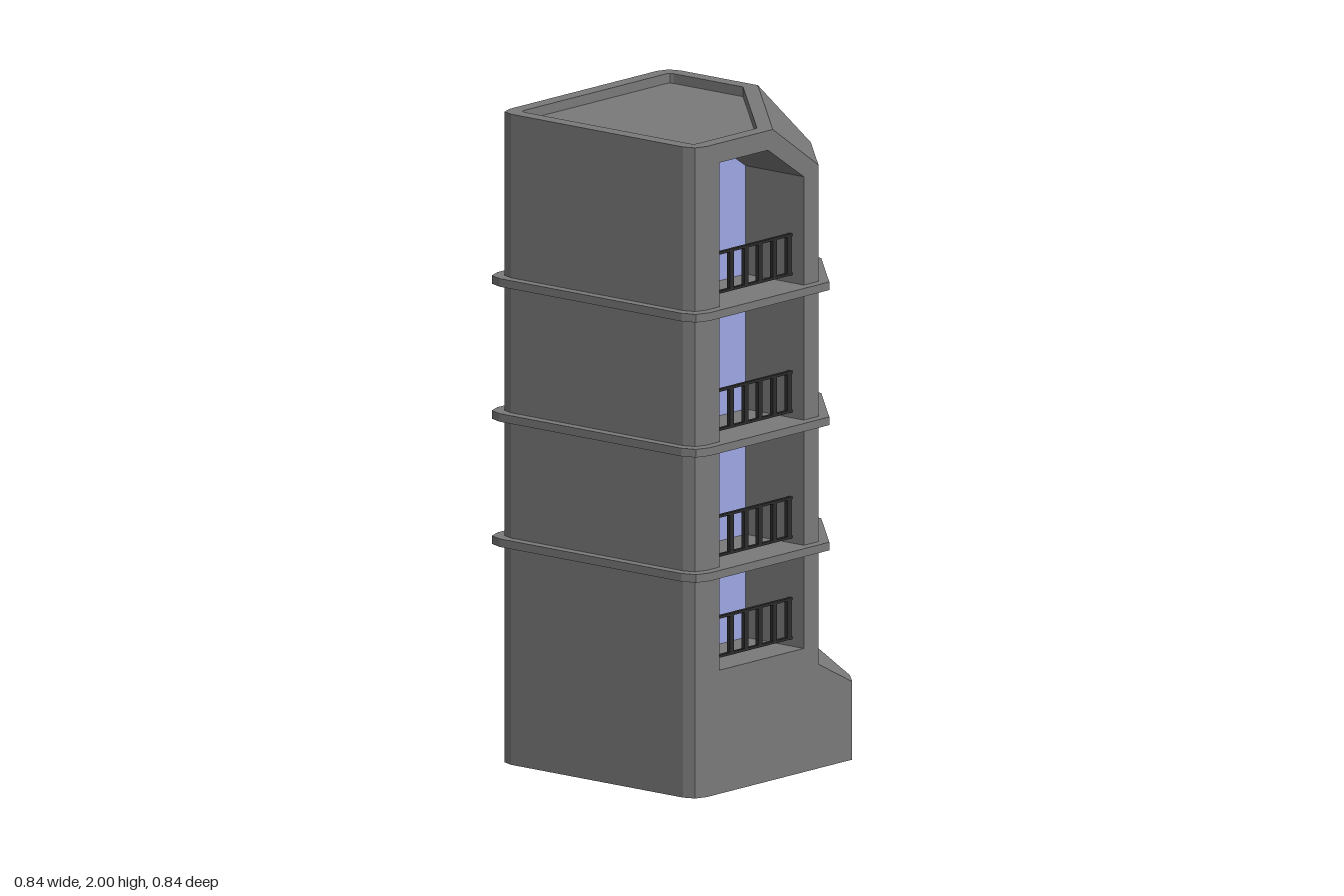
import * as THREE from 'three';

const concrete = new THREE.MeshStandardMaterial({ color: 0x7a7a7a, flatShading: true });
const glass = new THREE.MeshStandardMaterial({ color: 0xa0a9e6, flatShading: true });
const iron = new THREE.MeshStandardMaterial({ color: 0x2c2c2c, flatShading: true });

const H = 0.39;            // half width of the walls
const CUT = 0.565;         // x - z along the cut-off back corner
const BALCONY = { depth: 0.235, start: 0.28 };   // recess depth and far edge of the openings
const BACK = { depth: 0.04, start: 0.295 };
const R2 = Math.SQRT1_2;

// Mirror across the diagonal plane, swapping the right face and the back face
const swap = ([x, z]) => [-z, -x];

// Plan outline; end = near edge of the wall openings, win = [half width, depth] of the corner window
function plan({ h = H, c = 0.05, cut = CUT, end = null, win = null }) {
  const k = h - 0.27 * c;
  const half = ({ depth, start }) => {
    const p = [];
    if (win) {
      const [w, d] = win, m = cut / 2;
      p.push([m + (w - d) * R2, -m + (w + d) * R2], [m + w * R2, -m + w * R2]);
    }
    p.push([h, h - cut]);
    if (end !== null) p.push([h, end], [h - depth, end], [h - depth, start], [h, start]);
    p.push([h, h - c], [k, k], [h - c, h]);
    return p;
  };
  return [...half(BALCONY), [c - h, h], [-k, k], [-h, h - c], ...half(BACK).map(swap).reverse()];
}

// Solid between two outlines with equal point counts, with an optional straight-sided hole
function band(out, y0, y1, lower, upper = lower, hole = null) {
  const loop = (pts, ccw) => {
    const v = pts.map(([x, z]) => new THREE.Vector2(x, -z));
    return THREE.ShapeUtils.isClockWise(v) === ccw ? v.reverse() : v;
  };
  const put = (v, y) => out.push(v.x, y, -v.y);
  const holes = hole ? [loop(hole, false)] : [];
  const a = loop(lower, true), b = loop(upper, true);
  [[a, b], ...holes.map((q) => [q, q])].forEach(([p, q]) => {
    p.forEach((_, i) => {
      const j = (i + 1) % p.length;
      put(p[i], y0); put(p[j], y0); put(q[j], y1);
      put(p[i], y0); put(q[j], y1); put(q[i], y1);
    });
  });
  [[a, y0, true], [b, y1, false]].forEach(([p, y, flip]) => {
    const all = [p, ...holes].flat();
    THREE.ShapeUtils.triangulateShape(p, holes).forEach((f) => {
      (flip ? [f[0], f[2], f[1]] : f).forEach((i) => put(all[i], y));
    });
  });
}

function solid(name, material, build) {
  const out = [];
  build(out);
  const g = new THREE.BufferGeometry();
  g.setAttribute('position', new THREE.Float32BufferAttribute(out, 3));
  g.computeVertexNormals();
  const mesh = new THREE.Mesh(g, material);
  mesh.name = name;
  return mesh;
}

function box(name, material, size, pos) {
  const mesh = new THREE.Mesh(new THREE.BoxGeometry(...size), material);
  mesh.name = name;
  mesh.position.set(...pos);
  return mesh;
}

// Storeys: floor, top of the straight opening, corner window [bottom, top, half width, depth]
const storeys = [
  { y0: 0.38, y1: 0.672 },
  { y0: 0.697, y1: 1.057, win: [0.747, 1.04, 0.109, 0.043] },
  { y0: 1.082, y1: 1.472, win: [1.11, 1.45, 0.13, 0.062] },
  { y0: 1.497, y1: 1.83, win: [1.52, 1.812, 0.109, 0.043] },
];
const END = -0.108;                                             // near edge of the openings
const TOP = 1.94;                                               // top of the highest opening
const roofCut = (y) => CUT - 0.21 * Math.max(0, (y - 1.855) / 0.145);
const slopeEnd = (y) => END + 0.165 * (y - 1.83) / (TOP - 1.83);

export function createModel() {
  const model = new THREE.Group();
  model.name = 'tower';

  model.add(solid('towerWalls', concrete, (out) => {
    // Base with its sloped shoulder
    const base = plan({ cut: 0.72 }), plain = plan({});
    band(out, 0, 0.24, base);
    band(out, 0.24, 0.32, base, plain);
    band(out, 0.32, 0.38, plain);
    // Storeys with balcony, back opening and corner window
    const open = plan({ end: END });
    storeys.forEach(({ y0, y1, win }) => {
      if (!win) return band(out, y0, y1, open);
      band(out, y0, win[0], open);
      band(out, win[0], win[1], plan({ end: END, win: win.slice(2) }));
      band(out, win[1], y1, open);
    });
    // Sloped heads of the top openings under the sloped roof corner
    const at = (y) => plan({ cut: roofCut(y), end: slopeEnd(y) });
    band(out, 1.83, 1.855, at(1.83), at(1.855));
    band(out, 1.855, TOP, at(1.855), at(TOP));
    // Roof and its raised rim
    const roof = (y) => plan({ cut: roofCut(y) });
    band(out, TOP, 1.97, roof(TOP), roof(1.97));
    band(out, 1.97, 2, roof(1.97), roof(2), plan({ h: 0.343, c: 0.015, cut: 0.29 }));
  }));

  // Floor slabs that project as bands
  storeys.slice(0, 3).forEach(({ y1 }) => {
    model.add(solid('floorBand', concrete, (out) => band(out, y1, y1 + 0.025, plan({ h: 0.42, c: 0.06, cut: 0.61 }))));
  });

  // Glazing of the balconies and the back openings
  const pane = ({ depth, start }, end) => {
    const x = H - depth;
    return [[x - 0.01, end], [x + 0.004, end], [x + 0.004, start], [x - 0.01, start]];
  };
  [['balconyGlass', BALCONY, (p) => p], ['backWindow', BACK, swap]].forEach(([name, recess, map]) => {
    storeys.forEach(({ y0, y1 }, i) => {
      model.add(solid(name, glass, (out) => {
        const low = pane(recess, END).map(map);
        band(out, y0, y1, low);
        if (i === 3) band(out, y1, TOP, low, pane(recess, slopeEnd(TOP)).map(map));
      }));
    });
  });

  // Corner windows on the diagonal face
  storeys.filter((s) => s.win).forEach(({ win: [b, t, w, d] }) => {
    const m = CUT / 2 - (d - 0.002) * R2;
    const mesh = box('cornerWindow', glass, [2 * w, t - b, 0.008], [m, (b + t) / 2, -m]);
    mesh.rotation.y = Math.PI * 0.75;
    model.add(mesh);
  });

  // Balcony railings
  [0.406, 0.716, 1.103, 1.525].forEach((y) => {
    const railing = new THREE.Group();
    railing.name = 'balconyRailing';
    const length = BALCONY.start - END, mid = (BALCONY.start + END) / 2;
    [0, 0.12].forEach((dy) => railing.add(box('rail', iron, [0.012, 0.008, length], [0.338, y + dy, mid])));
    for (let i = 0; i < 6; i++) {
      railing.add(box('baluster', iron, [0.012, 0.12, 0.018], [0.338, y + 0.06, 0.235 - i * 0.066]));
    }
    model.add(railing);
  });

  return model;
}
